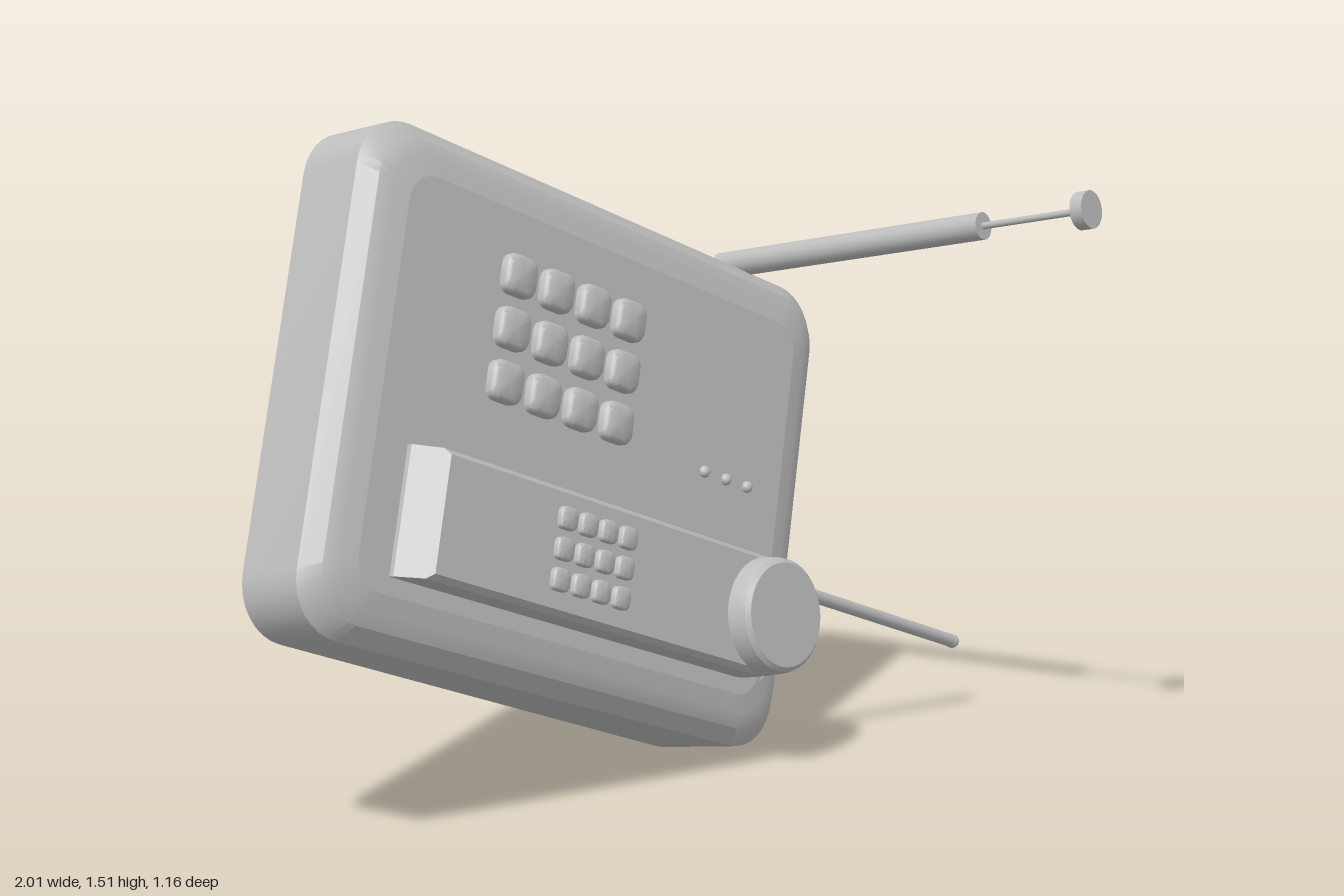
import * as THREE from 'three';
import { toCreasedNormals } from 'three/addons/utils/BufferGeometryUtils.js';

const plastic = new THREE.MeshStandardMaterial({ color: 0xbebebe });
plastic.name = 'grey plastic';

// Counter-clockwise rounded rectangle
function roundRect(u0, u1, v0, v1, r, steps = 6) {
  const pts = [];
  const corners = [[u1 - r, v0 + r, -90], [u1 - r, v1 - r, 0], [u0 + r, v1 - r, 90], [u0 + r, v0 + r, 180]];
  for (const [cx, cy, a0] of corners) {
    for (let i = 0; i <= steps; i++) {
      const a = THREE.MathUtils.degToRad(a0 + 90 * i / steps);
      pts.push(new THREE.Vector2(cx + r * Math.cos(a), cy + r * Math.sin(a)));
    }
  }
  return pts;
}

// Outline with a square left end and a round right end
function bullet(left, right, vMid, r) {
  const pts = [];
  for (let i = 0; i <= 20; i++) {
    const a = Math.PI * (i / 20 - 0.5);
    pts.push(new THREE.Vector2(right - r + r * Math.cos(a), vMid + r * Math.sin(a)));
  }
  pts.push(new THREE.Vector2(left, vMid + r), new THREE.Vector2(left, vMid - r));
  return pts;
}

// Skin a stack of outlines; each ring is [points, depth], depth may be a function of u
function loft(rings, capStart, capEnd, crease = 0.5) {
  const n = rings[0][0].length, pos = [], idx = [];
  const depth = (c, u) => (typeof c === 'function' ? c(u) : c);
  for (const [pts, c] of rings) for (const p of pts) pos.push(p.x, p.y, depth(c, p.x));
  for (let k = 0; k < rings.length - 1; k++) {
    for (let j = 0; j < n; j++) {
      const a = k * n + j, b = k * n + (j + 1) % n;
      idx.push(a, b, a + n, b, b + n, a + n);
    }
  }
  const cap = (k, flip) => {
    const [pts, c] = rings[k];
    const mid = pts.reduce((s, p) => s.add(p), new THREE.Vector2()).divideScalar(n);
    const m = pos.length / 3;
    pos.push(mid.x, mid.y, depth(c, mid.x));
    for (let j = 0; j < n; j++) {
      const a = k * n + j, b = k * n + (j + 1) % n;
      if (flip) idx.push(m, b, a); else idx.push(m, a, b);
    }
  };
  if (capStart) cap(0, true);
  if (capEnd) cap(rings.length - 1, false);
  const g = new THREE.BufferGeometry();
  g.setAttribute('position', new THREE.Float32BufferAttribute(pos, 3));
  g.setIndex(idx);
  return toCreasedNormals(g, crease);
}

function add(parent, name, geometry) {
  const mesh = new THREE.Mesh(geometry, plastic);
  mesh.name = name;
  parent.add(mesh);
  return mesh;
}

// Cylinder between two points
function rod(parent, name, from, to, radius, sides = 20) {
  const dir = to.clone().sub(from);
  const m = add(parent, name, new THREE.CylinderGeometry(radius, radius, dir.length(), sides));
  m.position.copy(from).addScaledVector(dir, 0.5);
  m.quaternion.setFromUnitVectors(new THREE.Vector3(0, 1, 0), dir.normalize());
}

// Four by three block of soft square keys
function keypad(parent, name, u0, v0, du, dv, size, c, h) {
  const group = new THREE.Group();
  group.name = name;
  const s = size / 2;
  const sq = (inset) => roundRect(-s + inset, s - inset, -s + inset, s - inset, s * 0.55 - inset * 0.5, 4);
  const geo = loft([[sq(0), 0], [sq(0), h * 0.6], [sq(s * 0.08), h * 0.85], [sq(s * 0.22), h]], false, true, 0.6);
  for (let row = 0; row < 3; row++) {
    for (let col = 0; col < 4; col++) {
      add(group, 'key', geo).position.set(u0 + col * du, v0 - row * dv, c);
    }
  }
  parent.add(group);
}

export function createModel() {
  const model = new THREE.Group();
  model.name = 'telephone';

  // Tilted frame carrying the body
  const phone = new THREE.Group();
  phone.name = 'phone';
  const u = new THREE.Vector3(0.9316, -0.3568, -0.0699).normalize();
  const n = u.clone().cross(new THREE.Vector3(0.3346, 0.9142, -0.2286)).normalize();
  phone.quaternion.setFromRotationMatrix(new THREE.Matrix4().makeBasis(u, n.clone().cross(u), n));
  model.add(phone);

  // Wedge body with chamfered rim and a gently raised face
  const face = 0;
  const body = (i) => roundRect(-1.132 + i, 0.318 - i, 0.142 + i, 1.258 - i, 0.125 - i * 0.5, 8);
  add(phone, 'base', loft([
    [body(0), (x) => -0.278 - 0.045 * x],
    [body(0), -0.053],
    [body(0.035), -0.018],
    [body(0.07), -0.008],
    [body(0.11), face],
  ], true, false));

  // Front panel with the cradle opening
  const pocket = bullet(-1.01, 0.277, 0.427, 0.161);
  const panel = new THREE.Shape(body(0.11));
  panel.holes.push(new THREE.Path(pocket));
  add(phone, 'frontPanel', new THREE.ShapeGeometry(panel)).position.z = face;
  add(phone, 'cradle', loft([[pocket, face], [pocket, -0.11]], false, true));

  // Handset with a sloped left end
  const handset = (left, inset) => bullet(left, 0.268 - inset, 0.43, 0.14 - inset);
  add(phone, 'handset', loft([
    [handset(-0.935, 0), -0.11],
    [handset(-0.935, 0), 0.012],
    [handset(-0.893, 0.002), 0.066],
    [handset(-0.882, 0.014), 0.08],
  ], false, true));

  // Round earpiece
  const profile = [[0.137, -0.02], [0.134, 0.03], [0.13, 0.047], [0.12, 0.056], [0, 0.056]]
    .map(([r, y]) => new THREE.Vector2(r, y));
  const ear = add(phone, 'earpiece', toCreasedNormals(new THREE.LatheGeometry(profile, 32), 0.5));
  ear.rotation.x = Math.PI / 2;
  ear.position.set(0.13, 0.43, 0.08);

  // Keys and indicator dots
  keypad(phone, 'baseKeypad', -0.7, 1.005, 0.114, 0.119, 0.09, face, 0.027);
  keypad(phone, 'handsetKeypad', -0.538, 0.501, 0.062, 0.067, 0.05, 0.08, 0.015);
  for (const x of [-0.053, 0.021, 0.094]) {
    add(phone, 'indicator', new THREE.SphereGeometry(0.014, 12, 8)).position.set(x, 0.732, face + 0.003);
  }

  // Straight rod leaving the handset, with a round tip
  const rodEnd = new THREE.Vector3(0.982, 0.178, -0.143);
  rod(model, 'handsetAerial', new THREE.Vector3(0.34, 0.423, -0.098), rodEnd, 0.016, 14);
  add(model, 'handsetAerialTip', new THREE.SphereGeometry(0.0175, 14, 10)).position.copy(rodEnd);

  // Telescopic antenna
  const foot = new THREE.Vector3(0.476, 1.123, -0.437);
  const joint = new THREE.Vector3(0.622, 1.26, 0.298);
  const along = joint.clone().sub(foot).normalize();
  const at = (d) => joint.clone().addScaledVector(along, d);
  rod(model, 'antennaTube', foot, joint, 0.031, 24);
  rod(model, 'antennaRod', at(-0.01), at(0.26), 0.008, 12);
  rod(model, 'antennaCap', at(0.253), at(0.283), 0.042, 24);
  return model;
}
